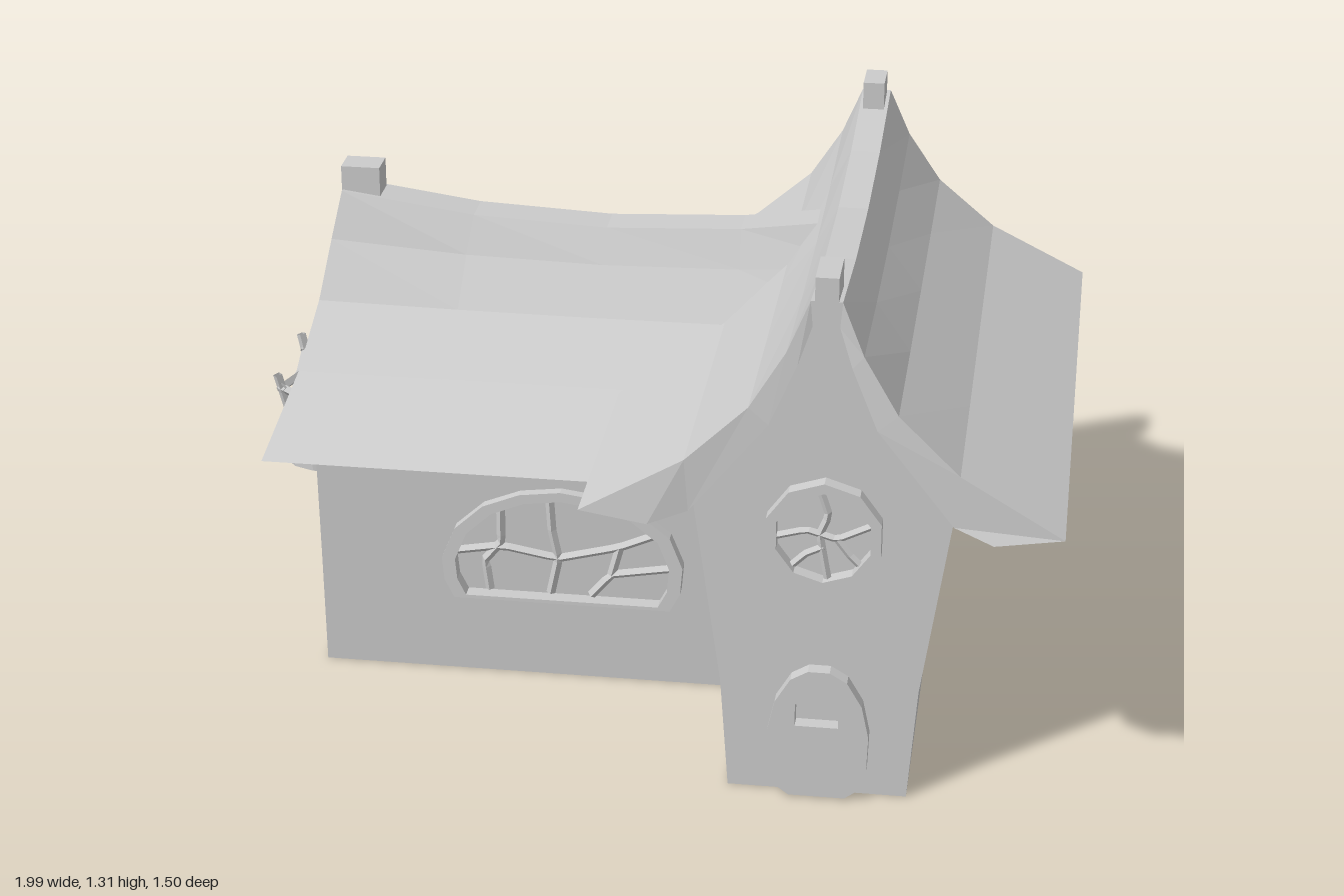
import * as THREE from 'three';

const material = new THREE.MeshStandardMaterial({ color: 0xcccccc, flatShading: true, side: THREE.DoubleSide });
const v2 = ([x, y]) => new THREE.Vector2(x, y);

function add(parent, name, geometry, x = 0, y = 0, z = 0) {
  const mesh = new THREE.Mesh(geometry, material);
  mesh.name = name;
  mesh.position.set(x, y, z);
  parent.add(mesh);
  return mesh;
}

const extrude = (shape, depth) => new THREE.ExtrudeGeometry(shape, { depth, bevelEnabled: false, curveSegments: 6 });
const mirrored = (half) => [...half, ...half.map(([x, y]) => [-x, y]).reverse()];

// Flared walls with gable ends, running along local z
function walls(half, back, front) {
  return extrude(new THREE.Shape(mirrored(half).map(v2)), front - back).translate(0, 0, back);
}

// Sagging roof: outer and inner half profiles run from ridge to eave
function roof(outer, inner, back, front, sag) {
  const weight = [1, 0.5, 0.1, 0, 0], stations = 4, n = 10;
  const pos = [];
  const point = (profile, j, s) => {
    const i = j < 5 ? 4 - j : j - 5, t = s / stations;
    const [x, y] = profile[i];
    const drop = sag * weight[i] * (1 - (2 * t - 1) ** 2);
    return [j < 5 ? x : -x, y - drop, back[i] + (front[i] - back[i]) * t];
  };
  const quad = (a, b, c, d) => pos.push(...a, ...b, ...c, ...a, ...c, ...d);
  const ring = (k, s) => {
    k %= 2 * n;
    return k < n ? point(outer, k, s) : point(inner, 2 * n - 1 - k, s);
  };
  for (let s = 0; s < stations; s++)
    for (let k = 0; k < 2 * n; k++) quad(ring(k, s), ring(k + 1, s), ring(k + 1, s + 1), ring(k, s + 1));
  for (let j = 0; j < n - 1; j++) {
    const end = (s) => [point(outer, j, s), point(outer, j + 1, s), point(inner, j + 1, s), point(inner, j, s)];
    quad(...end(stations));
    quad(...end(0).reverse());
  }
  const g = new THREE.BufferGeometry();
  g.setAttribute('position', new THREE.Float32BufferAttribute(pos, 3));
  g.computeVertexNormals();
  return g;
}

// Crooked wooden bar through a few points
function twig(parent, name, points, r = 0.009) {
  const path = new THREE.CurvePath();
  const p = points.map(([x, y, z = 0]) => new THREE.Vector3(x, y, z));
  for (let i = 1; i < p.length; i++) path.add(new THREE.LineCurve3(p[i - 1], p[i]));
  add(parent, name, new THREE.TubeGeometry(path, (p.length - 1) * 4, r, 4));
}

// Egg-shaped door with a small slot
function door(parent, name, x, y, z) {
  const half = [[0.065, 0.004], [0.1, 0.03], [0.114, 0.08], [0.117, 0.17], [0.1, 0.25], [0.065, 0.31], [0.025, 0.334]];
  const shape = new THREE.Shape(mirrored(half).map(v2));
  const [l, r, b, t] = [-0.053, 0.047, 0.19, 0.247];
  shape.holes.push(new THREE.Path([[l, b], [l, t], [r, t], [r, b]].map(v2)));
  add(parent, name, extrude(shape, 0.035), x, y, z);
}

// Window frame: outline shrunk about a centre to make the opening
function frame(outline, cx, cy, k, depth) {
  const shape = new THREE.Shape(outline.map(v2));
  shape.holes.push(new THREE.Path(outline.map(([x, y]) => v2([cx + (x - cx) * k, cy + (y - cy) * k])).reverse()));
  return extrude(shape, depth);
}

function createModel() {
  const house = new THREE.Group();
  house.name = 'cottage';

  // Tall wing, ridge along z
  const tall = new THREE.Group();
  tall.name = 'tallWing';
  tall.position.x = 0.455;
  house.add(tall);
  const tallOuter = [[0.035, 1.25], [0.085, 1.13], [0.165, 1.0], [0.305, 0.87], [0.54, 0.74]];
  const tallInner = [[0.03, 1.19], [0.06, 1.1], [0.12, 0.96], [0.295, 0.745], [0.385, 0.715]];
  const tallHalf = [[0.208, 0], [0.228, 0.28], [0.295, 0.745], ...tallInner.slice(0, 3).reverse()];
  add(tall, 'tallWalls', walls(tallHalf, -0.64, 0.66));
  add(tall, 'tallRoof', roof(tallOuter, tallInner,
    [-0.655, -0.67, -0.695, -0.722, -0.752], [0.685, 0.698, 0.714, 0.73, 0.75], 0.052));
  add(tall, 'frontRidgeBlock', new THREE.BoxGeometry(0.052, 0.075, 0.118), 0, 1.268, 0.626);
  add(tall, 'backRidgeBlock', new THREE.BoxGeometry(0.052, 0.075, 0.098), 0, 1.268, -0.596);
  door(tall, 'frontDoor', 0.002, 0, 0.66);

  // Round gable window
  const round = new THREE.Group();
  round.name = 'roundWindow';
  round.position.set(0.005, 0.678, 0.66);
  tall.add(round);
  const ringPoints = Array.from({ length: 10 }, (_, i) => {
    const a = (i + 0.5) * Math.PI / 5;
    return [0.136 * Math.cos(a), 0.136 * Math.sin(a)];
  });
  add(round, 'roundFrame', frame(ringPoints, 0, 0, 0.82, 0.035));
  [
    [[-0.11, -0.01], [-0.04, 0.01], [0.03, -0.01], [0.11, 0.03]],
    [[-0.01, 0.11], [0.01, 0.05], [-0.01, 0], [0.01, -0.11]],
    [[-0.07, -0.08], [-0.04, -0.05], [0, -0.03]],
    [[0.03, -0.01], [0.06, -0.05], [0.08, -0.07]],
  ].forEach((p) => twig(round, 'roundWindowBar', p.map(([x, y]) => [x, y, 0.014])));

  // Low wing, ridge along x, its gable facing -x
  const low = new THREE.Group();
  low.name = 'lowWing';
  low.position.z = -0.185;
  low.rotation.y = -Math.PI / 2;
  house.add(low);
  const lowOuter = [[0.045, 1.11], [0.09, 1.0], [0.17, 0.87], [0.315, 0.745], [0.562, 0.62]];
  const lowInner = [[0.035, 1.035], [0.065, 0.96], [0.13, 0.83], [0.27, 0.70], [0.425, 0.632]];
  const lowHalf = [[0.4, 0], [0.41, 0.3], [0.425, 0.632], ...lowInner.slice(0, 4).reverse()];
  add(low, 'lowWalls', walls(lowHalf, -0.42, 0.81));
  add(low, 'lowRoof', roof(lowOuter, lowInner,
    [-0.5, -0.51, -0.53, -0.55, -0.58], [0.81, 0.83, 0.848, 0.87, 0.907], 0.06));
  add(low, 'sideRidgeBlock', new THREE.BoxGeometry(0.072, 0.085, 0.095), 0, 1.128, 0.764);

  // Balcony with its own door
  door(low, 'balconyDoor', 0, 0.395, 0.805);
  const floor = add(low, 'balconyFloor', new THREE.CylinderGeometry(0.13, 0.13, 0.02, 14), 0, 0.39, 0.868);
  floor.rotation.x = 0.05;
  for (const s of [-1, 1]) {
    twig(low, 'balconyPost', [[s * 0.1, 0.39, 0.95], [s * 0.115, 0.53, 0.95], [s * 0.125, 0.64, 0.975]], 0.012);
    twig(low, 'balconySideRail', [[s * 0.13, 0.565, 0.81], [s * 0.138, 0.58, 0.89], [s * 0.12, 0.605, 0.975]], 0.012);
  }
  twig(low, 'balconyFrontRail', [[-0.14, 0.6, 0.965], [-0.02, 0.575, 0.955], [0.14, 0.61, 0.965]], 0.012);
  twig(low, 'balconyBrace', [[0.02, 0.4, 0.975], [-0.01, 0.5, 0.96], [-0.02, 0.575, 0.955]], 0.01);

  // Wide arched window on the low wing's front
  const wide = new THREE.Group();
  wide.name = 'wideWindow';
  wide.position.z = 0.21;
  house.add(wide);
  const arch = [[-0.475, 0.222], [0.055, 0.222], [0.08, 0.27], [0.086, 0.34], [0.055, 0.42], [-0.02, 0.48],
    [-0.1, 0.51], [-0.21, 0.525], [-0.31, 0.512], [-0.4, 0.475], [-0.47, 0.41], [-0.503, 0.33], [-0.498, 0.27]];
  add(wide, 'wideFrame', frame(arch, -0.21, 0.3, 0.89, 0.05));
  [
    [[-0.47, 0.34], [-0.36, 0.36], [-0.22, 0.335], [-0.07, 0.375], [0.03, 0.42]],
    [[-0.39, 0.24], [-0.4, 0.32], [-0.36, 0.37], [-0.36, 0.47]],
    [[-0.24, 0.5], [-0.235, 0.41], [-0.22, 0.335], [-0.24, 0.24]],
    [[-0.14, 0.24], [-0.09, 0.3], [0.05, 0.325]],
    [[-0.09, 0.3], [-0.07, 0.375]],
  ].forEach((p) => twig(wide, 'wideWindowBar', p.map(([x, y]) => [x, y, 0.025]), 0.011));

  return house;
}

export { createModel };
